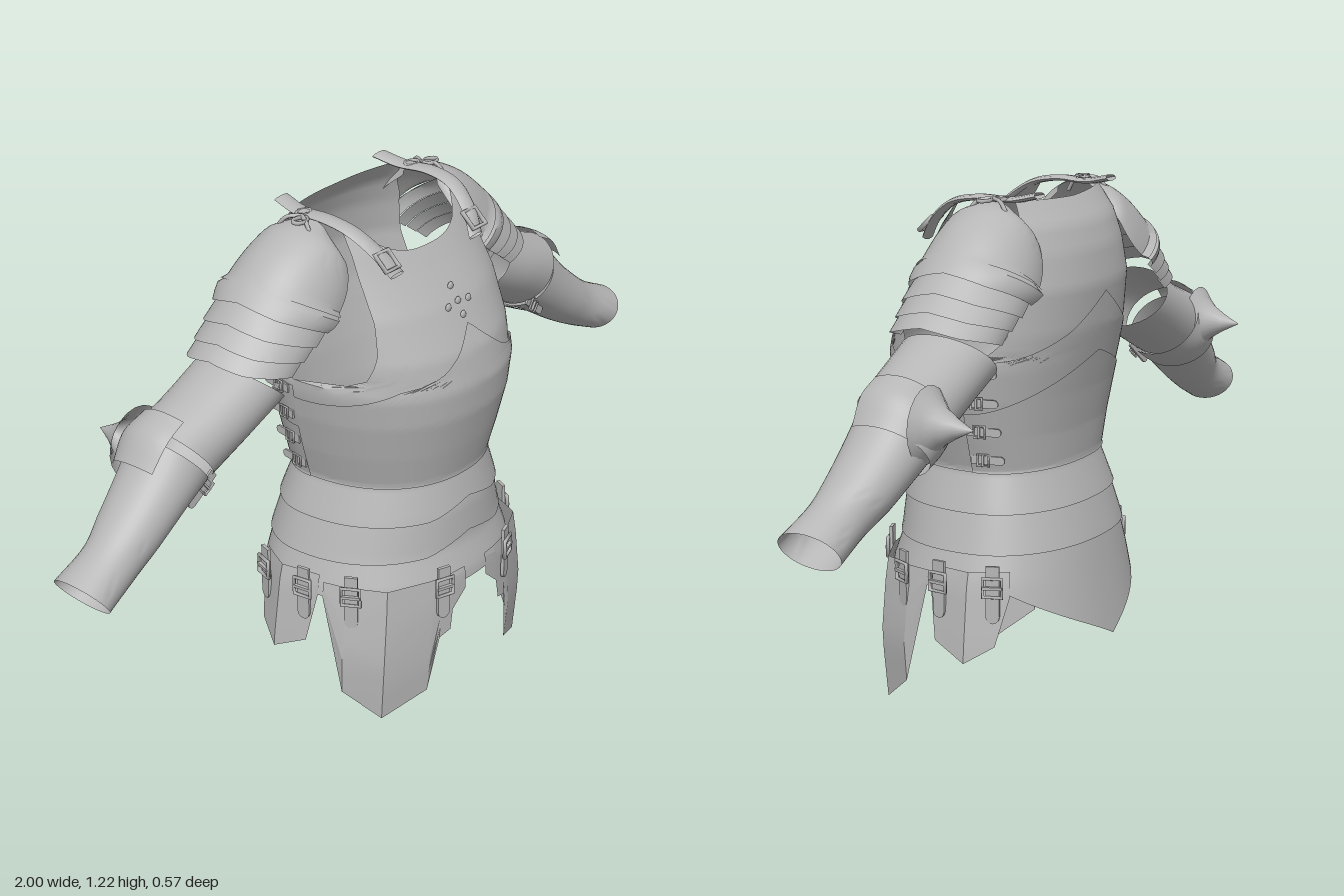
import * as THREE from 'three';
import { toCreasedNormals } from 'three/addons/utils/BufferGeometryUtils.js';

const steel = new THREE.MeshStandardMaterial({ color: 0xb6b6b6, side: THREE.DoubleSide });
steel.name = 'steel';

const { PI, sin, cos, abs, min, max, sign } = Math;
const V = (x, y, z) => new THREE.Vector3(x, y, z);

function add(parent, name, geometry) {
  const mesh = new THREE.Mesh(geometry, steel);
  mesh.name = name;
  parent.add(mesh);
  return mesh;
}

// Curved sheet: f(u, v) gives a point, u and v run from 0 to 1
function sheet(nu, nv, f, crease = 0.6) {
  const pos = [], idx = [];
  for (let j = 0; j <= nv; j++) for (let i = 0; i <= nu; i++) pos.push(...f(i / nu, j / nv).toArray());
  for (let j = 0; j < nv; j++) for (let i = 0; i < nu; i++) {
    const a = j * (nu + 1) + i, b = a + 1, c = a + nu + 1, d = c + 1;
    idx.push(a, b, d, a, d, c);
  }
  const g = new THREE.BufferGeometry();
  g.setAttribute('position', new THREE.Float32BufferAttribute(pos, 3));
  g.setIndex(idx);
  return toCreasedNormals(g, crease);
}

// Linear lookup in rows of [key, ...values]
function lookup(rows, k) {
  let i = 0;
  while (i < rows.length - 2 && k > rows[i + 1][0]) i++;
  const a = rows[i], b = rows[i + 1];
  const t = max(0, min(1, (k - a[0]) / (b[0] - a[0])));
  return a.slice(1).map((v, n) => v + (b[n + 1] - v) * t);
}

// Body profile: height, half width, front z, back z
const BODY = [
  [0, 0.325, 0.25, -0.265], [0.16, 0.332, 0.268, -0.265], [0.33, 0.308, 0.262, -0.24],
  [0.4, 0.288, 0.243, -0.23], [0.49, 0.265, 0.243, -0.208], [0.58, 0.238, 0.23, -0.178],
  [0.66, 0.262, 0.25, -0.185], [0.75, 0.285, 0.27, -0.2], [0.82, 0.298, 0.275, -0.215],
  [0.9, 0.3, 0.257, -0.233], [1, 0.3, 0.205, -0.242], [1.08, 0.29, 0.147, -0.228],
  [1.14, 0.28, 0.105, -0.205], [1.2, 0.27, 0.05, -0.15],
];
const ZC = -0.03, POW = 0.91;

// Point on the body; angle 0 is the front, PI the back
function body(angle, y, off = 0) {
  const [w, zf, zb] = lookup(BODY, y);
  const s = sin(angle), c = cos(angle);
  const depth = (c > 0 ? zf - ZC : ZC - zb) + off;
  return V((w + off) * sign(s) * abs(s) ** POW, y, ZC + depth * sign(c) * abs(c) ** POW);
}

// Half-body plate with armholes; top and bottom are functions of u in -1..1
const ARM_FRONT = [[0.845, 0.3], [0.852, 0.285], [0.87, 0.253], [0.93, 0.23], [1, 0.22], [1.1, 0.212], [1.2, 0.2]];
const ARM_BACK = [[0.845, 0.3], [0.855, 0.29], [0.9, 0.268], [1, 0.25], [1.1, 0.235], [1.2, 0.2]];
function plate(back, bottom, top, off) {
  return sheet(48, 44, (p, v) => {
    const u = p * 2 - 1, y = bottom(u) + (top(u) - bottom(u)) * v;
    const w = lookup(BODY, y)[0];
    const edge = y < 0.845 ? w : lookup(back ? ARM_BACK : ARM_FRONT, y)[0];
    const a = u * Math.asin(min(1, edge / w) ** (1 / POW));
    return body(back ? PI + a : a, y, off);
  });
}

// Strap with a square buckle, placed on the body
function buckle(parent, name, position, yaw, size = 1, roll = 0) {
  const g = new THREE.Group();
  g.name = name;
  add(g, 'strap', new THREE.BoxGeometry(0.032, 0.12, 0.008)).position.y = -0.01;
  const frame = add(g, 'buckleFrame', new THREE.TorusGeometry(0.031, 0.005, 6, 4).rotateZ(PI / 4));
  frame.position.z = 0.007;
  add(g, 'buckleBar', new THREE.BoxGeometry(0.046, 0.007, 0.008)).position.z = 0.009;
  add(g, 'strapTip', new THREE.CylinderGeometry(0.016, 0.016, 0.008, 12).rotateX(PI / 2)).position.y = -0.07;
  g.position.copy(position);
  g.rotation.set(0, yaw, roll, 'YXZ');
  g.scale.setScalar(size);
  parent.add(g);
}

// Arm shell through rings of [topX, topY, underX, underY, halfDepth, centreZ]
function armShell(rings, o = {}) {
  const { from = 0, to = 1, a0 = 0, a1 = 2 * PI, half = false, grow = 0, peak = 0, nv = 14 } = o;
  const curve = (f) => new THREE.CatmullRomCurve3(rings.map(f));
  const A = curve((r) => V(r[0], r[1], 0)), B = curve((r) => V(r[2], r[3], 0)), Z = curve((r) => V(r[4], r[5], 0));
  return sheet(36, nv, (u, v) => {
    const t = from + (to - from) * v, phi = a0 + (a1 - a0) * u;
    const a = A.getPoint(t), b = B.getPoint(t), z = Z.getPoint(t);
    const c = half ? b : a.clone().add(b).multiplyScalar(0.5);
    const k = 1 + grow * v;
    const p = c.clone().add(a.sub(c).multiplyScalar(cos(phi) * k));
    const lift = peak * max(0, 1 - abs(phi) / 0.7);
    return V(p.x - lift * 0.6, p.y + lift, z.y + sin(phi) * z.x * k);
  });
}

function buildArm() {
  const arm = new THREE.Group();
  const shoulder = [
    [0.2, 1.197, 0.2, 1.17, 0.05, -0.06], [0.26, 1.19, 0.205, 1.12, 0.11, -0.065],
    [0.33, 1.155, 0.23, 1.07, 0.128, -0.068], [0.39, 1.105, 0.27, 1.03, 0.136, -0.07],
    [0.43, 1.06, 0.31, 1, 0.136, -0.07], [0.465, 1.02, 0.345, 0.975, 0.133, -0.07],
    [0.5, 0.985, 0.38, 0.95, 0.128, -0.07], [0.535, 0.95, 0.42, 0.92, 0.122, -0.07],
  ];
  // Shoulder dome and overlapping lames
  const open = { half: true, a0: -1.7, a1: 1.7 };
  add(arm, 'shoulderCap', armShell(shoulder, { ...open, to: 3.2 / 7, grow: 0.03 }));
  for (let i = 3; i < 7; i++) {
    add(arm, 'shoulderLame', armShell(shoulder, { ...open, from: i / 7, to: min(1, (i + 1.15) / 7), grow: 0.06, peak: 0.012, nv: 3 }));
  }
  add(arm, 'upperArmPlate', armShell([
    [0.5, 0.945, 0.35, 0.82, 0.112, -0.078], [0.6, 0.9, 0.47, 0.765, 0.108, -0.08], [0.7, 0.862, 0.58, 0.71, 0.103, -0.085],
  ]));
  // Elbow guard open at the front, with its spike behind
  add(arm, 'elbowGuard', armShell([
    [0.665, 0.888, 0.55, 0.715, 0.108, -0.085], [0.72, 0.858, 0.598, 0.69, 0.116, -0.087], [0.765, 0.798, 0.65, 0.665, 0.104, -0.087],
  ], { a0: -PI * 1.1, a1: 0.5 }));
  const spike = [[0.085, 0], [0.062, 0.018], [0.042, 0.038], [0.022, 0.07], [0, 0.113]].map((p) => new THREE.Vector2(...p));
  add(arm, 'elbowSpike', new THREE.LatheGeometry(spike, 20).rotateX(-PI / 2)).position.set(0.668, 0.79, -0.168);
  add(arm, 'forearmPlate', armShell([
    [0.71, 0.84, 0.59, 0.7, 0.098, -0.088], [0.77, 0.775, 0.665, 0.66, 0.09, -0.083], [0.85, 0.705, 0.755, 0.605, 0.078, -0.075],
    [0.91, 0.662, 0.835, 0.563, 0.067, -0.066], [0.998, 0.62, 0.925, 0.524, 0.074, -0.062],
  ]));
  buckle(arm, 'elbowBuckle', V(0.615, 0.71, -0.02), 0.1, 0.7, 0.9);
  buckle(arm, 'armBuckle', V(0.36, 0.83, -0.04), 0.1, 0.5, 0.6);
  return arm;
}

// Everything that appears on both sides of the body
function buildSide() {
  const side = new THREE.Group();
  side.add(buildArm());
  // Faceted skirt plates: columns of [angle, bottom y, ridge]
  const tasset = (name, cols, top) => add(side, name, sheet(cols.length - 1, 6, (u, v) => {
    const [a, low, r] = cols[Math.round(u * (cols.length - 1))];
    return body(a, top + (low - top) * v, 0.008 + r);
  }, 0.2));
  tasset('frontTasset', [[0.1, 0.29, 0], [0.23, 0.25, 0.002], [0.25, 0.2, 0.002], [0.35, 0.19, 0.004],
    [0.43, 0.05, 0.006], [0.8, 0.003, 0.022], [1.12, 0.07, 0.006], [1.32, 0.31, 0]], 0.345);
  tasset('sideTasset', [[1.36, 0.31, 0], [1.43, 0.19, 0], [1.68, 0.15, 0.012], [1.95, 0.19, 0], [2.09, 0.3, 0]], 0.36);
  for (const a of [0.34, 1.08, 1.46, 1.93]) buckle(side, 'skirtBuckle', body(a, 0.33, 0.02), a);
  for (const y of [0.82, 0.75, 0.68, 0.61]) buckle(side, 'sideBuckle', body(1.75, y, 0.008), 1.75, 0.6, PI / 2);

  // Shoulder strap and lace bow
  const path = new THREE.CatmullRomCurve3([
    V(0.145, 1.095, 0.145), V(0.165, 1.14, 0.112), V(0.185, 1.187, 0.05), V(0.19, 1.202, -0.02), V(0.185, 1.2, -0.1), V(0.175, 1.213, -0.165),
  ]);
  add(side, 'shoulderStrap', sheet(8, 24, (u, v) => {
    const p = path.getPoint(v), a = u * 2 * PI;
    return V(p.x + 0.024 * cos(a), p.y + 0.007 * sin(a), p.z + 0.004 * sin(a));
  }));
  const frame = add(side, 'strapBuckle', new THREE.TorusGeometry(0.032, 0.006, 6, 4).rotateZ(PI / 4));
  frame.position.set(0.16, 1.13, 0.128);
  frame.rotation.x = -0.8;
  for (const s of [-1, 1]) {
    const loop = add(side, 'laceLoop', new THREE.TorusGeometry(0.02, 0.005, 6, 16).rotateX(PI / 2));
    loop.scale.z = 0.7;
    loop.position.set(0.215 + s * 0.02, 1.203, -0.07 + s * 0.012);
    const tail = new THREE.CatmullRomCurve3([V(0.215, 1.205, -0.07), V(0.235, 1.2, -0.07 + s * 0.03), V(0.245, 1.165, -0.07 + s * 0.055)]);
    add(side, 'laceTail', new THREE.TubeGeometry(tail, 10, 0.005, 6));
  }
  return side;
}

export function createModel() {
  const model = new THREE.Group();
  model.name = 'plateArmour';

  // Breastplate and backplate, each with raised lower layers
  const waist = () => 0.575;
  add(model, 'breastplate', plate(false, waist, (u) => 1.118 + 0.08 * min(1, abs(u) / 0.85) ** 2.5, 0));
  add(model, 'lowerBreastplate', plate(false, waist, (u) => 0.8 + 0.155 * (1 - abs(u)) ** 2, 0.005));
  add(model, 'backplate', plate(true, waist, (u) => 1.192 + 0.008 * abs(u), 0));
  add(model, 'middleBackplate', plate(true, waist, (u) => 0.83 + 0.15 * (1 - abs(u)) ** 1.6, 0.004));
  add(model, 'lowerBackplate', plate(true, waist, (u) => 0.72 + 0.12 * (1 - abs(u)) ** 1.6, 0.008));

  // Small cross of studs on the chest
  for (const [a, y] of [[0, 1], [0.1, 0.995], [-0.1, 0.995], [0, 1.03], [0, 0.97]]) {
    const stud = add(model, 'chestStud', new THREE.SphereGeometry(0.01, 10, 6));
    stud.position.copy(body(a, y));
    stud.scale.z = 0.5;
  }

  // Waist lames, the last one drawn down to a point at the back
  const point = (a, h) => h * max(0, 1 - abs(a) / 0.4);
  const tail = (a) => min(0.31, 0.16 + 0.14 * ((PI - abs(a)) / 1) ** 0.85);
  const lames = [
    [() => 0.59, (a) => 0.485 + point(a, 0.028)],
    [(a) => 0.495 + point(a, 0.028), (a) => 0.395 + point(a, 0.028)],
    [(a) => 0.405 + point(a, 0.028), tail],
  ];
  for (const [top, bottom] of lames) {
    add(model, 'waistLame', sheet(72, 8, (u, v) => {
      const a = (u * 2 - 1) * PI;
      return body(a, top(a) + (bottom(a) - top(a)) * v, 0.006 * v);
    }));
  }

  // Mirrored sides
  const left = buildSide(), right = buildSide();
  left.name = 'leftSide';
  right.name = 'rightSide';
  right.scale.x = -1;
  model.add(left, right);
  return model;
}
